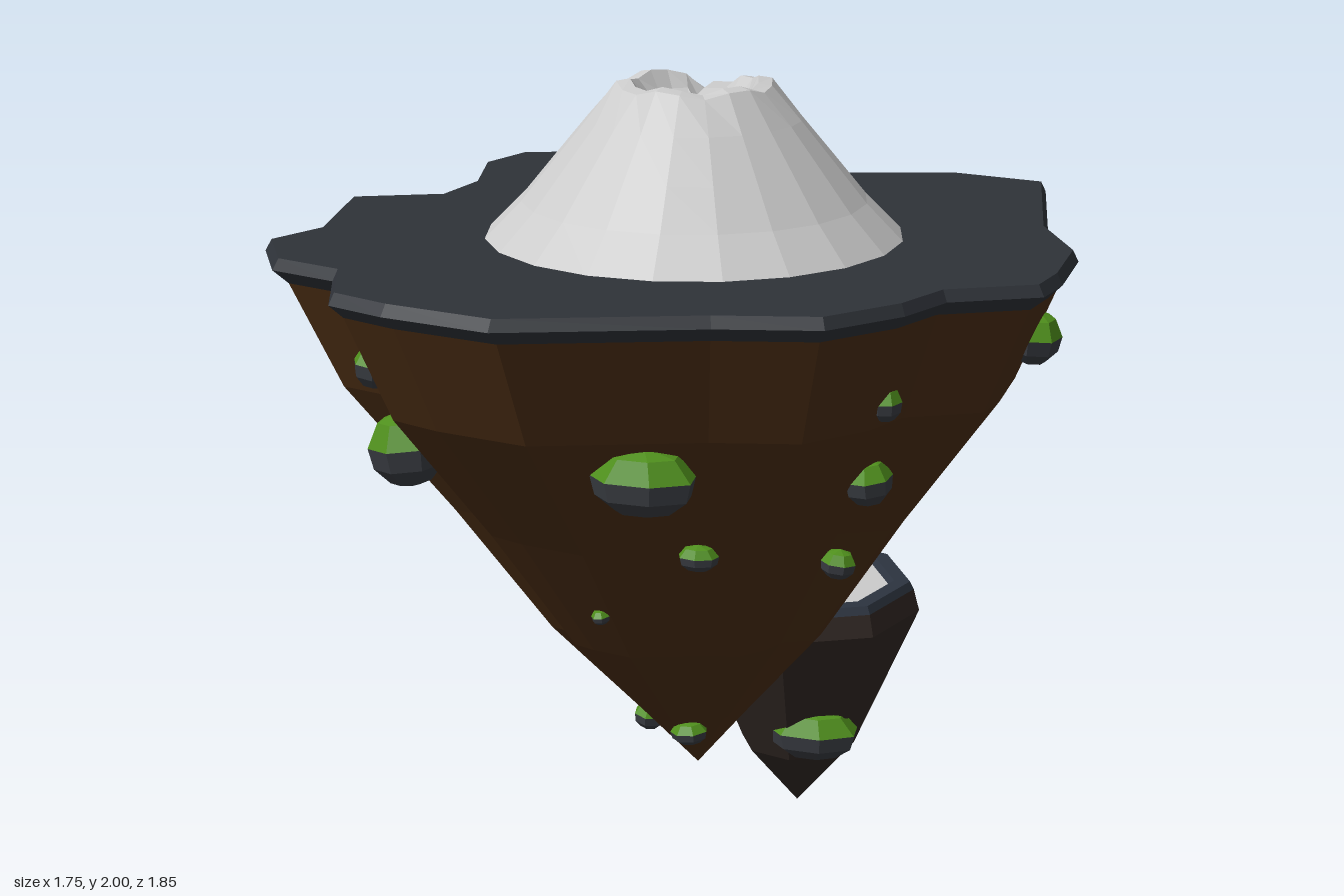
import * as THREE from 'three';

const mat = (color) => new THREE.MeshStandardMaterial({ color, flatShading: true, roughness: 1, side: THREE.DoubleSide });
const GREY = mat(0xcccccc), SLATE = mat(0x2e3238), DIRT = mat(0x4a2d14);
const STONE = mat(0x393c42), GRASS = mat(0x4f8f1c), DARK = mat(0x302723), BLUE = mat(0x2c3440);

// Plan of the large island, clockwise seen from above: x, z
const OUTLINE = [
  [-0.42, -0.78], [-0.06, -0.78], [-0.02, -0.7], [0.08, -0.62], [0.22, -0.63], [0.53, -0.69],
  [0.75, -0.62], [0.79, -0.13], [0.87, 0.1], [0.85, 0.32], [0.82, 0.43], [0.63, 0.51],
  [0.56, 0.64], [0.42, 0.78], [0.2, 0.81], [-0.22, 0.92], [-0.46, 0.84], [-0.59, 0.77],
  [-0.645, 0.57], [-0.8, 0.5], [-0.875, 0.325], [-0.8, 0.19], [-0.83, -0.14], [-0.63, -0.21],
  [-0.59, -0.37], [-0.625, -0.6], [-0.565, -0.74],
];

// Skin a list of closed rings with quads
function loft(rings) {
  const n = rings[0].length, index = [];
  for (let r = 0; r < rings.length - 1; r++) {
    for (let i = 0; i < n; i++) {
      const j = (i + 1) % n, a = r * n + i, b = r * n + j, c = a + n, d = b + n;
      index.push(a, b, c, b, d, c);
    }
  }
  const g = new THREE.BufferGeometry();
  g.setAttribute('position', new THREE.Float32BufferAttribute(rings.flat(2), 3));
  g.setIndex(index);
  const flat = g.toNonIndexed();
  flat.computeVertexNormals();
  return flat;
}

// Round ring, clockwise from the back
function circle(n, r, y, cx, cz, dy = () => 0) {
  return Array.from({ length: n }, (_, i) => {
    const a = (i / n) * Math.PI * 2;
    return [cx + r * Math.sin(a), y + dy(i), cz - r * Math.cos(a)];
  });
}

// Outline scaled towards the tip of the large island
const slice = ([f, y]) => OUTLINE.map(([x, z]) => [x * f + 0.02 * (1 - f), y, z * f - 0.02 * (1 - f)]);

function add(parent, name, geometry, material) {
  const m = new THREE.Mesh(geometry, material);
  m.name = name;
  parent.add(m);
  return m;
}

// Boulder with a grass cap
function boulder(parent, [x, y, z, w, h, d], k) {
  const g = new THREE.Group();
  g.name = 'boulder';
  add(g, 'boulderStone', new THREE.SphereGeometry(1, 7, 3, 0, Math.PI * 2, Math.PI * 0.46, Math.PI * 0.54), STONE);
  add(g, 'boulderGrass', new THREE.SphereGeometry(1, 7, 2, 0, Math.PI * 2, 0, Math.PI * 0.46), GRASS);
  for (const part of g.children) part.rotation.y = k * 1.3;
  g.position.set(x, y, z);
  g.scale.set(w, h, d);
  g.rotation.z = 0.12 * Math.sin(k * 2.1);
  parent.add(g);
}

export function createModel() {
  const model = new THREE.Group();
  model.name = 'floatingIslands';

  // Large island
  const island = new THREE.Group();
  island.name = 'largeIsland';
  model.add(island);
  add(island, 'plateau', loft([[0, 1.655], [0.985, 1.655], [1, 1.63], [0.96, 1.595]].map(slice)), SLATE);
  add(island, 'earthCone', loft([[0.965, 1.6], [0.85, 1.36], [0.6, 1.05], [0.37, 0.74], [0.14, 0.5], [0, 0.35]].map(slice)), DIRT);

  // Volcano with a wavy rim, notched at the back where the stream leaves
  const N = 20, vx = 0.03, vz = 0.085;
  const notch = (i) => (i < 2 ? -0.045 : 0);
  const rim = (i) => notch(i) + 0.008 * Math.sin(i * 1.9);
  add(model, 'volcano', loft([
    circle(N, 0, 1.915, vx, vz),
    circle(N, 0.07, 1.915, vx, vz),
    circle(N, 0.115, 1.955, vx, vz, notch),
    circle(N, 0.14, 1.99, vx, vz, rim),
    circle(N, 0.17, 1.985, vx, vz, rim),
    circle(N, 0.235, 1.91, vx, vz),
    circle(N, 0.31, 1.82, vx, vz),
    circle(N, 0.38, 1.735, vx, vz),
    circle(N, 0.465, 1.65, vx, vz),
  ]), GREY);

  // Stream: left x, right x, top y, top z, underside y, underside z
  const stations = [
    [0, 0.07, 1.925, 0.06, 1.91, 0.06],
    [0.03, 0.1, 1.955, -0.03, 1.93, -0.03],
    [0.04, 0.11, 1.96, -0.09, 1.93, -0.08],
    [0.06, 0.13, 1.84, -0.225, 1.82, -0.21],
    [0.09, 0.17, 1.745, -0.3, 1.72, -0.28],
    [0.1, 0.185, 1.68, -0.37, 1.65, -0.36],
    [0.1, 0.215, 1.678, -0.63, 1.655, -0.625],
    [0.105, 0.215, 1.66, -0.655, 1.64, -0.63],
    [0.115, 0.215, 0.6, -0.655, 0.6, -0.63],
  ];
  add(model, 'streamAndWaterfall', loft(stations.map(([l, r, y, z, yb, zb]) =>
    [[l, y, z], [r, y, z], [r, yb, zb], [l, yb, zb]])), GREY);

  // Small island with a pool
  const small = new THREE.Group();
  small.name = 'smallIsland';
  model.add(small);
  const rings = (profile) => loft(profile.map(([r, y]) => circle(8, r, y, 0.17, -0.62)));
  add(small, 'pool', rings([[0, 0.605], [0.235, 0.605]]), GREY);
  add(small, 'poolRim', rings([[0.225, 0.6], [0.24, 0.62], [0.28, 0.62], [0.29, 0.6]]), BLUE);
  add(small, 'smallEarthCone', rings([[0.29, 0.6], [0.305, 0.545], [0.145, 0.17], [0, 0]]), DARK);

  // Boulders: centre and half sizes
  [
    [0.04, 1.27, 0.69, 0.115, 0.075, 0.07], [-0.51, 1.26, 0.52, 0.085, 0.085, 0.08],
    [-0.56, 1.45, 0.56, 0.05, 0.05, 0.05], [0.51, 1.41, 0.5, 0.035, 0.04, 0.05],
    [0.46, 1.2, 0.375, 0.055, 0.055, 0.065], [0.39, 0.98, 0.295, 0.04, 0.035, 0.035],
    [0.125, 1.06, 0.54, 0.045, 0.03, 0.03], [-0.115, 0.865, 0.41, 0.022, 0.018, 0.03],
    [0.785, 1.47, 0.14, 0.06, 0.06, 0.08], [0.62, 1.31, -0.29, 0.06, 0.055, 0.075],
    [0.36, 1.45, -0.6, 0.04, 0.04, 0.04], [0.1, 1.18, -0.44, 0.1, 0.11, 0.09],
    [-0.15, 1.2, -0.53, 0.03, 0.03, 0.03], [-0.59, 1.24, -0.1, 0.065, 0.06, 0.065],
    [-0.57, 1.12, 0.18, 0.04, 0.04, 0.04], [-0.5, 1.04, 0.02, 0.035, 0.035, 0.035],
    [0.02, 0.47, 0.09, 0.045, 0.03, 0.04], [-0.09, 0.47, 0.0, 0.04, 0.035, 0.045],
    [0.03, 0.48, -0.1, 0.04, 0.04, 0.045], [0.02, 0.62, -0.17, 0.04, 0.04, 0.045],
  ].forEach((b, k) => boulder(island, b, k));
  [
    [0.23, 0.25, -0.48, 0.12, 0.07, 0.075], [0.33, 0.41, -0.76, 0.07, 0.055, 0.07],
    [-0.08, 0.41, -0.6, 0.065, 0.08, 0.11],
  ].forEach((b, k) => boulder(small, b, k));

  return model;
}
